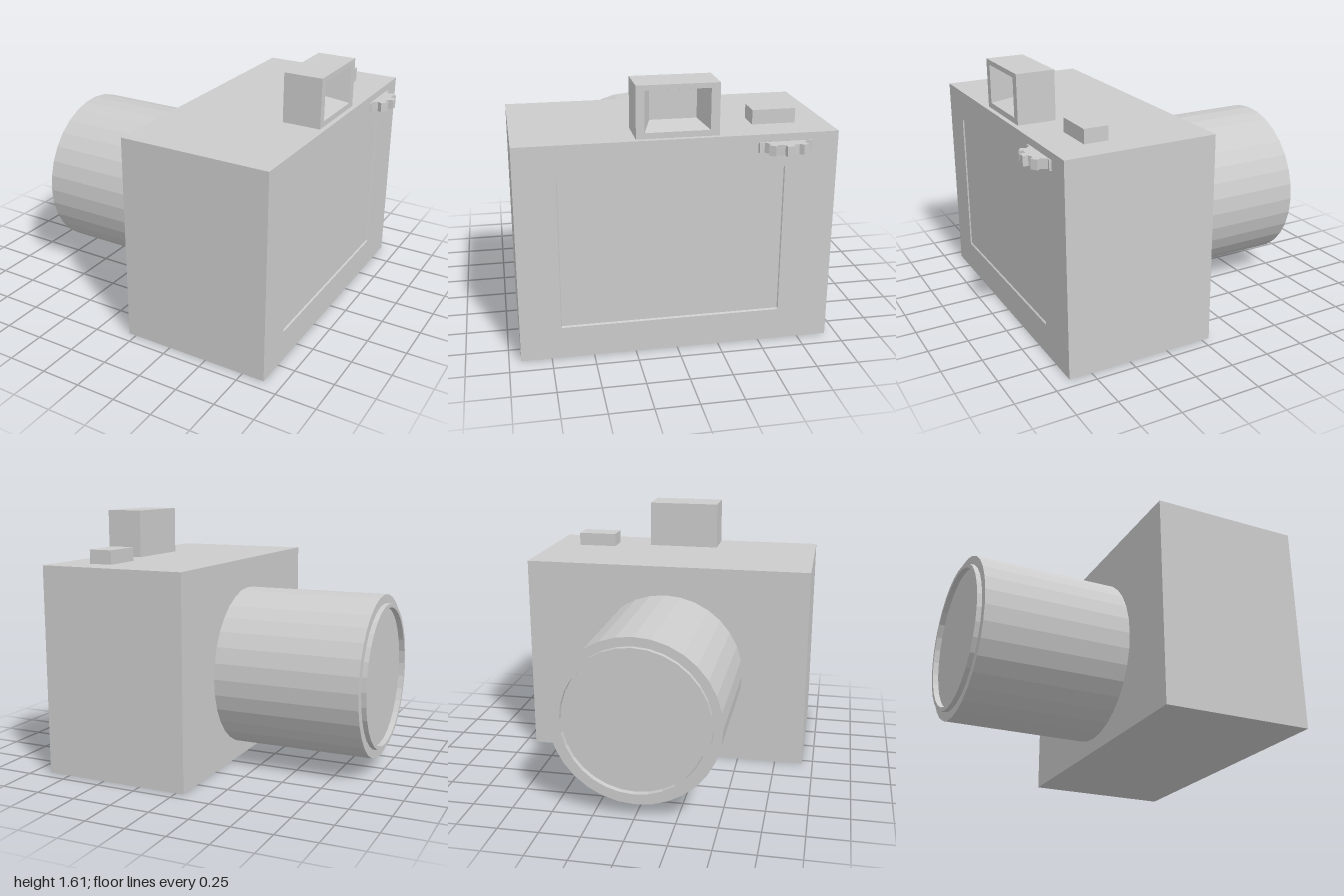
import * as THREE from 'three';

const material = new THREE.MeshStandardMaterial({ color: 0xcccccc, flatShading: true });

function add(group, name, geometry, x = 0, y = 0, z = 0) {
  const mesh = new THREE.Mesh(geometry, material);
  mesh.name = name;
  mesh.position.set(x, y, z);
  group.add(mesh);
  return mesh;
}

// Skins rectangular sections [x, yMin, yMax, zMin, zMax] in order, capping both ends
function steppedBlock(sections) {
  const rings = sections.map(([x, y0, y1, z0, z1]) => [
    [x, y0, z1], [x, y0, z0], [x, y1, z0], [x, y1, z1],
  ]);
  const positions = [];
  const quad = (a, b, c, d) => positions.push(...a, ...b, ...c, ...a, ...c, ...d);
  for (let i = 0; i < rings.length - 1; i++) {
    for (let j = 0; j < 4; j++) {
      const k = (j + 1) % 4;
      quad(rings[i][j], rings[i][k], rings[i + 1][k], rings[i + 1][j]);
    }
  }
  quad(...[...rings[0]].reverse());
  quad(...rings[rings.length - 1]);
  const geometry = new THREE.BufferGeometry();
  geometry.setAttribute('position', new THREE.Float32BufferAttribute(positions, 3));
  geometry.computeVertexNormals();
  return geometry;
}

// Toothed wheel lying flat, its underside at y = 0
function gear(teeth, outer, root, thickness) {
  const points = [];
  const step = (Math.PI * 2) / teeth;
  for (let i = 0; i < teeth; i++) {
    for (const [offset, r] of [[-0.28, root], [-0.2, outer], [0.2, outer], [0.28, root]]) {
      const a = (i + offset) * step;
      points.push(new THREE.Vector2(r * Math.cos(a), r * Math.sin(a)));
    }
  }
  return new THREE.ExtrudeGeometry(new THREE.Shape(points), { depth: thickness, bevelEnabled: false })
    .rotateX(-Math.PI / 2);
}

export function createModel() {
  const camera = new THREE.Group();
  camera.name = 'camera';

  // Body with a shallow recessed screen in the +x face
  add(camera, 'body', steppedBlock([
    [-0.05, 0, 1.305, -0.93, 0.93],
    [0.89, 0, 1.305, -0.93, 0.93],
    [0.89, 0.195, 1.11, -0.62, 0.69],
    [0.882, 0.203, 1.11, -0.615, 0.685],
  ]));

  // Lens barrel with a raised rim around the sunken glass
  const profile = [
    [0.515, 0.05], [0.515, 0.97], [0.46, 0.97], [0.46, 1],
    [0.435, 1], [0.435, 0.965], [0, 0.965],
  ].map(([r, h]) => new THREE.Vector2(r, h));
  const lens = add(camera, 'lens', new THREE.LatheGeometry(profile, 32), 0, 0.6, 0);
  lens.rotation.z = Math.PI / 2;

  // Viewfinder with a tapering eyepiece opening
  add(camera, 'viewfinder', steppedBlock([
    [0.62, 1.305, 1.61, -0.237, 0.24],
    [0.86, 1.305, 1.61, -0.237, 0.24],
    [0.86, 1.34, 1.58, -0.185, 0.19],
    [0.72, 1.375, 1.545, -0.135, 0.14],
  ]));

  // Shutter button and thumb dial
  add(camera, 'shutterButton', new THREE.BoxGeometry(0.15, 0.09, 0.26), 0.605, 1.347, -0.608);
  add(camera, 'thumbDial', gear(10, 0.17, 0.14, 0.06), 0.83, 1.2, -0.615);

  return camera;
}
